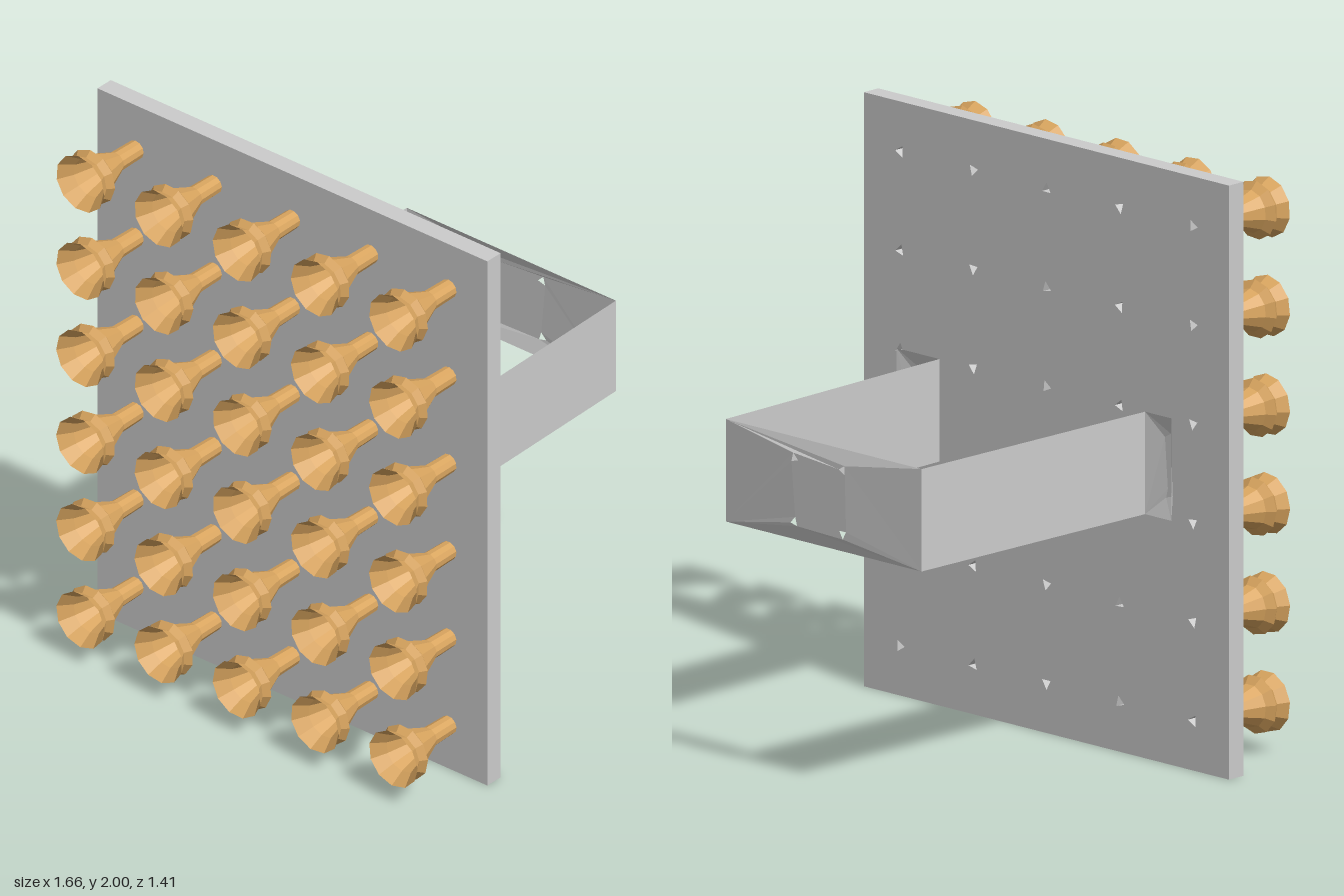
import * as THREE from 'three';

const grey = new THREE.MeshStandardMaterial({ color: 0xcccccc, flatShading: true });
const sheet = new THREE.MeshStandardMaterial({ color: 0xcccccc, flatShading: true, side: THREE.DoubleSide });
const tan = new THREE.MeshStandardMaterial({ color: 0xd9a55f, flatShading: true, side: THREE.DoubleSide });

const LOW = 0.83, HIGH = 1.175; // bracket strap height range

// Rectangle with small triangular screw holes
function perforated(x0, x1, y0, y1, holes, r) {
  const shape = new THREE.Shape();
  shape.moveTo(x0, y0).lineTo(x1, y0).lineTo(x1, y1).lineTo(x0, y1).closePath();
  holes.forEach(([x, y], k) => {
    const pts = [0, 1, 2].map((i) => {
      const a = k * 1.3 - (i * Math.PI * 2) / 3;
      return new THREE.Vector2(x + r * Math.cos(a), y + r * Math.sin(a));
    });
    shape.holes.push(new THREE.Path(pts));
  });
  return shape;
}

// Sheet panel pressed to another depth around its screw holes
function pressedPanel(name, x0, x1, z, pressedZ, holes) {
  const geo = new THREE.ShapeGeometry(perforated(x0, x1, LOW, HIGH, holes, 0.018));
  const p = geo.attributes.position;
  for (let i = 0; i < p.count; i++) {
    const x = p.getX(i), y = p.getY(i);
    const inside = x > x0 + 0.01 && x < x1 - 0.01 && y > LOW + 0.01 && y < HIGH - 0.01;
    p.setZ(i, inside ? pressedZ : z);
  }
  geo.computeVertexNormals();
  const mesh = new THREE.Mesh(geo, sheet);
  mesh.name = name;
  return mesh;
}

export function createModel() {
  const model = new THREE.Group();
  model.name = 'cupBoard';

  const spots = [];
  for (let row = 0; row < 6; row++) {
    for (let col = -2; col <= 2; col++) spots.push([col * 0.333, 0.167 + row * 0.333]);
  }

  // Backing plate with a hole behind each cup
  const plateGeo = new THREE.ExtrudeGeometry(perforated(-0.83, 0.83, 0, 2, spots, 0.022), {
    depth: 0.067, bevelEnabled: false,
  });
  const plate = new THREE.Mesh(plateGeo, grey);
  plate.position.z = 0.357;
  plate.name = 'backingPlate';
  model.add(plate);

  // Hollow stemmed cups: outside from the plate to the rim, then down the funnel
  const profile = [
    [0.033, 0.424], [0.035, 0.525], [0.073, 0.622], [0.099, 0.645], [0.08, 0.667],
    [0.103, 0.704], [0.07, 0.655], [0.032, 0.54], [0.013, 0.52], [0.013, 0.424],
  ].map(([r, h]) => new THREE.Vector2(r, h));
  const cupGeo = new THREE.LatheGeometry(profile, 11).rotateX(Math.PI / 2);
  const cups = new THREE.Group();
  cups.name = 'suctionCups';
  spots.forEach(([x, y], i) => {
    const cup = new THREE.Mesh(cupGeo, tan);
    cup.name = 'suctionCup';
    cup.position.set(x, y, 0);
    cup.rotation.z = i * 0.7;
    cups.add(cup);
  });
  model.add(cups);

  // Rear strap bracket: back panel, two side walls and two mounting flanges
  const bracket = new THREE.Group();
  bracket.name = 'bracket';
  bracket.add(pressedPanel('bracketBack', -0.45, 0.44, -0.683, -0.702,
    [[-0.11, 1.11], [0.11, 1.11], [-0.11, 0.895], [0.11, 0.895]]));
  bracket.add(pressedPanel('leftFlange', 0.465, 0.66, 0.335, 0.354, [[0.57, 1.1], [0.57, 0.91]]));
  bracket.add(pressedPanel('rightFlange', -0.59, -0.47, 0.335, 0.354, [[-0.56, 1.1], [-0.56, 0.91]]));
  for (const [name, xBack, xFront] of [['leftWall', 0.44, 0.465], ['rightWall', -0.45, -0.47]]) {
    const geo = new THREE.PlaneGeometry(1.018, HIGH - LOW).rotateY(Math.PI / 2);
    geo.translate(0, (LOW + HIGH) / 2, -0.174);
    const p = geo.attributes.position;
    for (let i = 0; i < p.count; i++) p.setX(i, p.getZ(i) > 0 ? xFront : xBack);
    geo.computeVertexNormals();
    const wall = new THREE.Mesh(geo, sheet);
    wall.name = name;
    bracket.add(wall);
  }
  model.add(bracket);

  return model;
}
